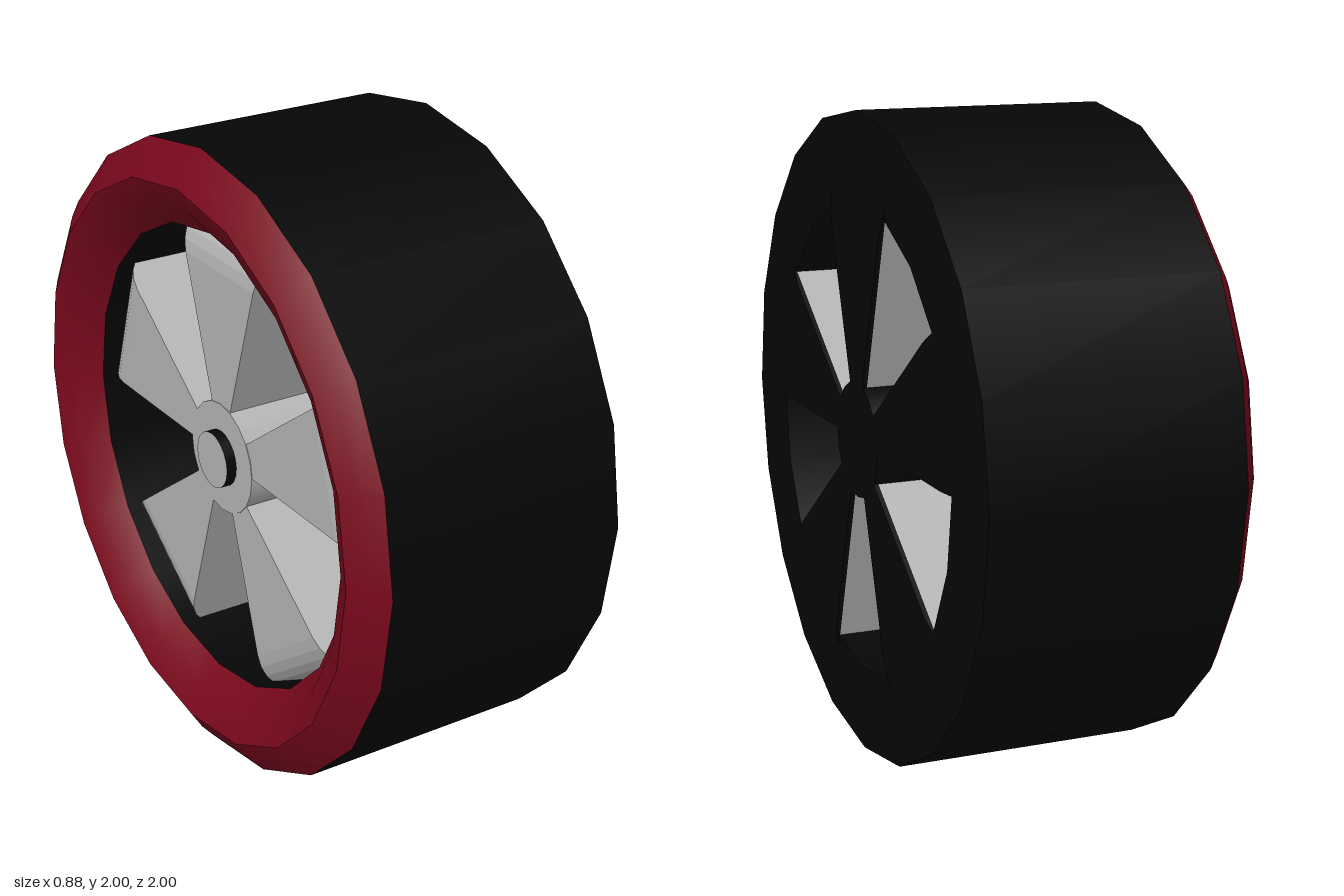
import * as THREE from 'three';

const mat = (name, color, side = THREE.FrontSide) => {
  const m = new THREE.MeshStandardMaterial({ color, side });
  m.name = name;
  return m;
};

export function createModel() {
  const black = mat('black rubber', 0x060606, THREE.DoubleSide);
  const red = mat('dark red', 0x78081c, THREE.DoubleSide);
  const grey = mat('grey metal', 0xb4b4b4);

  // The wheel is built around local y (outer side up), then laid on its side
  const wheel = new THREE.Group();
  wheel.name = 'wheel';
  const SIDES = 20, RIM = 0.735;

  const add = (name, geometry, material, y = 0, parent = wheel) => {
    const mesh = new THREE.Mesh(geometry, material);
    mesh.name = name;
    mesh.position.y = y;
    parent.add(mesh);
  };
  const ring = (name, points, material) =>
    add(name, new THREE.LatheGeometry(points.map(p => new THREE.Vector2(...p)), SIDES), material);

  // Tyre: separate rings keep the edges sharp
  ring('innerSidewall', [[RIM, -0.425], [1, -0.425]], black);
  ring('tread', [[1, -0.425], [1, 0.36]], black);
  ring('outerChamfer', [[1, 0.36], [0.95, 0.403], [0.89, 0.44]], red);
  ring('outerSidewall', [[0.89, 0.44], [0.81, 0.405], [RIM, 0.335]], red);
  ring('rimBarrel', [[RIM, 0.335], [RIM, -0.425]], black);

  // Spoke: side profile extruded, widening evenly towards the rim
  const taper = shape => {
    const g = new THREE.ExtrudeGeometry(shape, { depth: 1, bevelEnabled: false, curveSegments: 5 });
    g.translate(0, 0, -0.5);
    const p = g.attributes.position;
    for (let i = 0; i < p.count; i++) {
      p.setZ(i, p.getZ(i) * 2 * (0.06 + (p.getX(i) - 0.19) * 0.325));
    }
    g.computeVertexNormals();
    return g;
  };
  const body = new THREE.Shape();
  body.moveTo(0.1, -0.422);
  body.lineTo(0.735, -0.422);
  body.lineTo(0.735, 0.21);
  body.quadraticCurveTo(0.71, 0.305, 0.61, 0.31);
  body.lineTo(0.1, 0.31);
  const back = new THREE.Shape();
  back.moveTo(0.1, -0.437);
  back.lineTo(0.65, -0.437);
  back.lineTo(0.74, -0.424);
  back.lineTo(0.74, -0.422);
  back.lineTo(0.1, -0.422);
  const bodyGeometry = taper(body), backGeometry = taper(back);

  for (let i = 0; i < 5; i++) {
    const spoke = new THREE.Group();
    spoke.name = 'spoke' + (i + 1);
    spoke.rotation.y = i * Math.PI * 2 / 5;
    add('spokeBody', bodyGeometry, grey, 0, spoke);
    add('spokeBack', backGeometry, black, 0, spoke);
    wheel.add(spoke);
  }

  // Hub in two halves, and a centre cap with a dark edge (side, outer end, inner end)
  add('hubFront', new THREE.CylinderGeometry(0.18, 0.18, 0.462, SIDES), grey, 0.081);
  add('hubBack', new THREE.CylinderGeometry(0.18, 0.18, 0.287, SIDES), black, -0.2935);
  add('centreCap', new THREE.CylinderGeometry(0.09, 0.09, 0.04, SIDES), [black, grey, black], 0.325);

  wheel.rotation.z = Math.PI / 2;
  wheel.position.y = 1;
  const model = new THREE.Group();
  model.name = 'wheelModel';
  model.add(wheel);
  return model;
}
